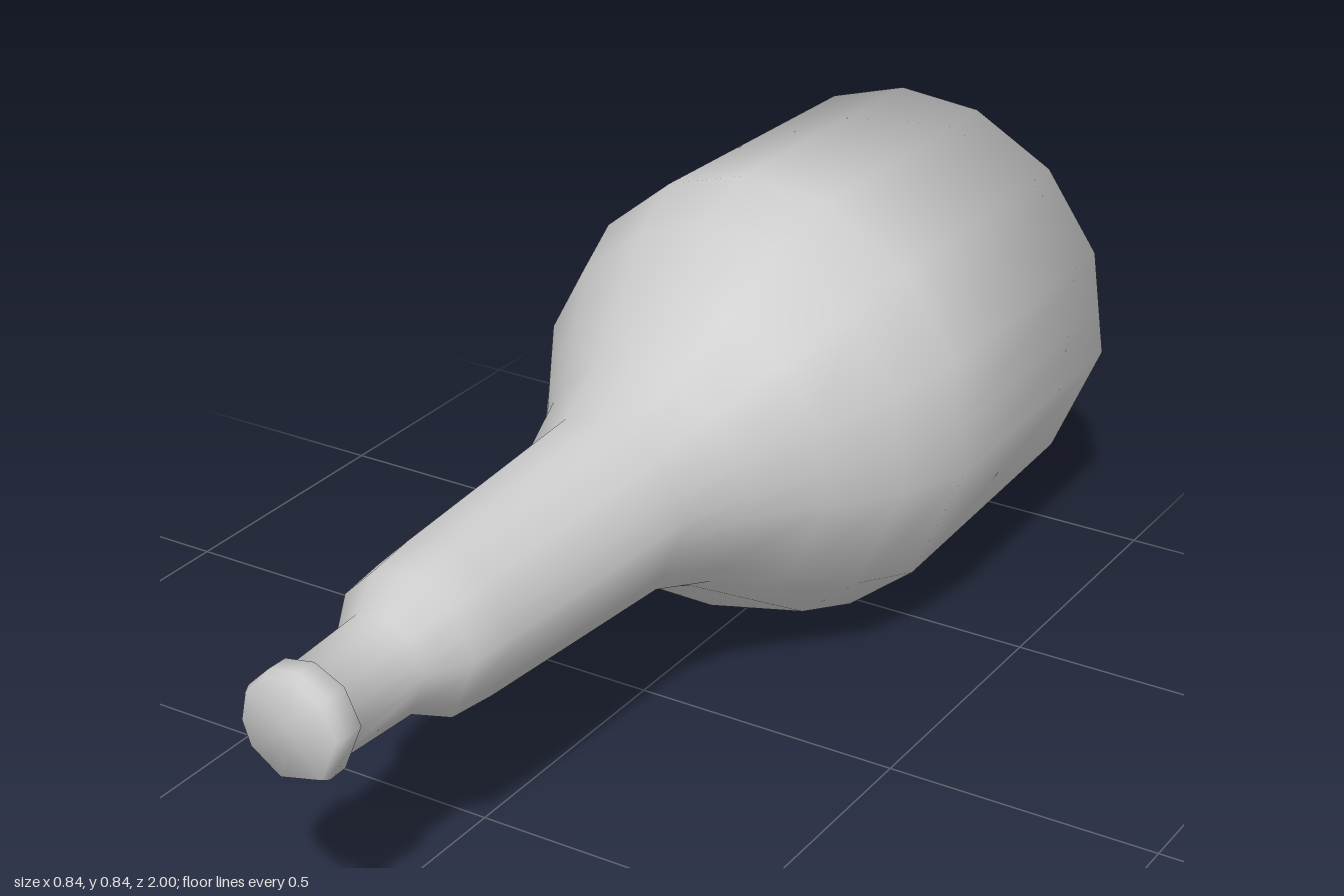
import * as THREE from 'three';

// Uneven facet corners (degrees) of the wide body and of the slim neck
const BODY = [-174, -148.6, -118, -92.6, -62, -40, -6, 22.4, 48, 73.4, 96, 118, 141, 163.3];
const NECK = [-174, -146, -103, -50, 6, 46, 83, 117, 152];
const ANGLES = [...new Set([...BODY, ...NECK])].sort((a, b) => a - b);
const CENTRE_Y = 0.423;

// Profile along the axis: [z, radius, share of neck facets]
const PROFILE = [
  [-1, 0, 0], [-1, 0.408, 0], [-0.4, 0.423, 0], [-0.26, 0.375, 0], [-0.13, 0.295, 0.2],
  [0, 0.214, 0.5], [0.13, 0.166, 1], [0.6, 0.142, 1], [0.7, 0.132, 1], [0.77, 0.09, 1],
  [0.935, 0.083, 1], [0.945, 0.096, 1], [0.985, 0.097, 1], [1, 0.09, 1], [1, 0, 1],
];

// Distance to a polygon inscribed in the unit circle, at one of the angles
function facetRadius(corners, angle) {
  const n = corners.length;
  for (let i = 0; i < n; i++) {
    const a = corners[i];
    const b = i + 1 < n ? corners[i + 1] : corners[0] + 360;
    if (angle >= a && angle <= b) {
      const rad = THREE.MathUtils.degToRad;
      return Math.cos(rad((b - a) / 2)) / Math.cos(rad(angle - (a + b) / 2));
    }
  }
  return 1;
}

// Smooth profile normal [radial, axial] averaged from the neighbouring segments
function profileNormal(k) {
  const sum = new THREE.Vector2();
  for (const s of [k - 1, k]) {
    if (s < 0 || s + 1 >= PROFILE.length) continue;
    const [z0, r0] = PROFILE[s], [z1, r1] = PROFILE[s + 1];
    sum.add(new THREE.Vector2(z1 - z0, r0 - r1).normalize());
  }
  return sum.normalize();
}

// Skin the rings between two profile indices
function section(name, from, to, material) {
  const positions = [], normals = [], index = [];
  const n = ANGLES.length;
  for (let k = from; k <= to; k++) {
    const [z, r, mix] = PROFILE[k];
    const normal = profileNormal(k);
    for (const deg of ANGLES) {
      const a = THREE.MathUtils.degToRad(deg);
      const d = r * THREE.MathUtils.lerp(facetRadius(BODY, deg), facetRadius(NECK, deg), mix);
      positions.push(d * Math.cos(a), CENTRE_Y + d * Math.sin(a), z);
      normals.push(normal.x * Math.cos(a), normal.x * Math.sin(a), normal.y);
    }
  }
  for (let k = 0; k < to - from; k++) {
    for (let i = 0; i < n; i++) {
      const a = k * n + i, b = k * n + (i + 1) % n;
      if (PROFILE[from + k][1] > 0) index.push(a, b, a + n);
      if (PROFILE[from + k + 1][1] > 0) index.push(b, b + n, a + n);
    }
  }
  const geometry = new THREE.BufferGeometry();
  geometry.setAttribute('position', new THREE.Float32BufferAttribute(positions, 3));
  geometry.setAttribute('normal', new THREE.Float32BufferAttribute(normals, 3));
  geometry.setIndex(index);
  const mesh = new THREE.Mesh(geometry, material);
  mesh.name = name;
  return mesh;
}

export function createModel() {
  const group = new THREE.Group();
  group.name = 'bottle';
  const material = new THREE.MeshStandardMaterial({ color: 0xcccccc });
  group.add(
    section('body', 0, 3, material),
    section('shoulder', 3, 6, material),
    section('neck', 6, 9, material),
    section('spout', 9, 10, material),
    section('lip', 10, 14, material),
  );
  return group;
}
